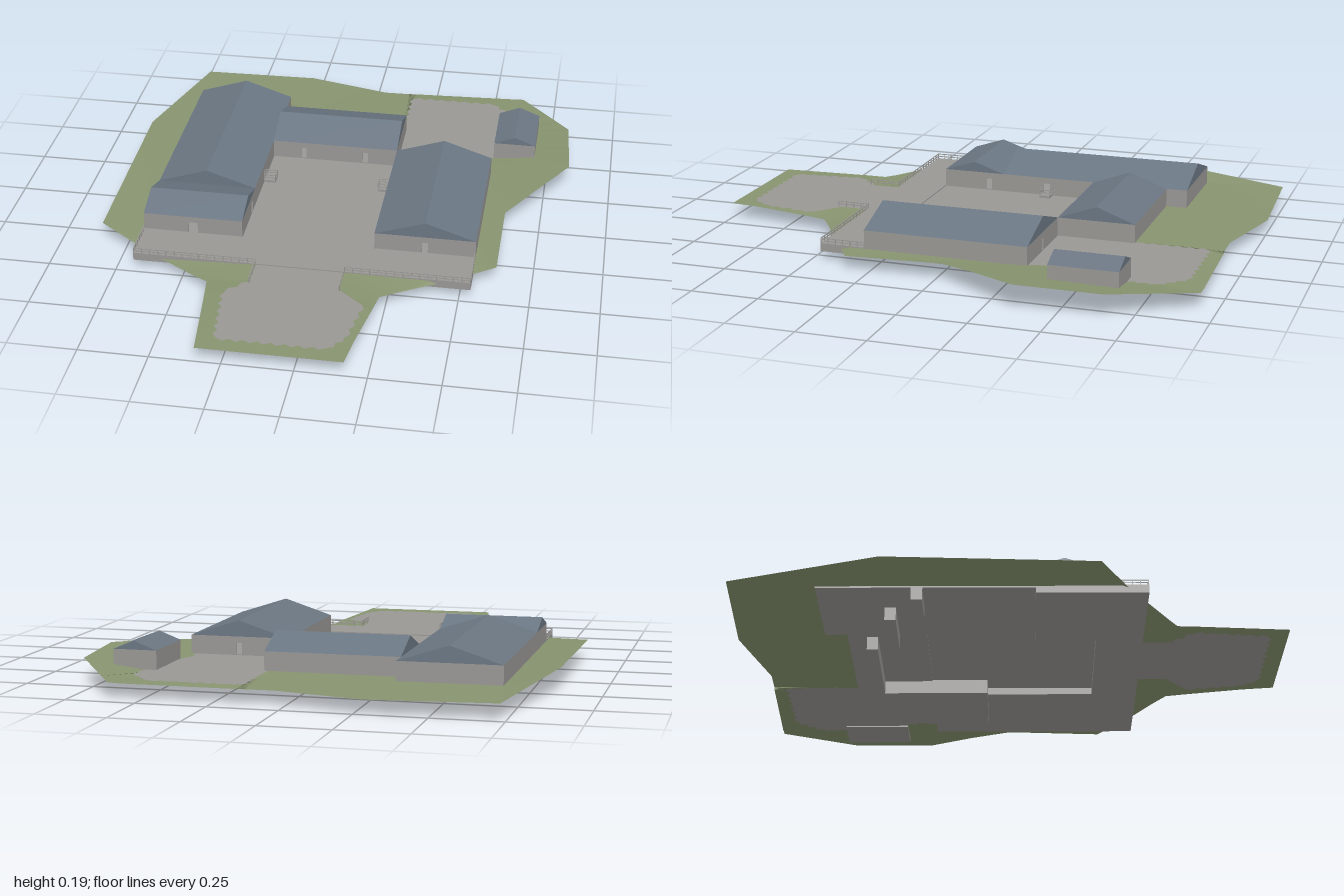
import * as THREE from 'three';

export function createModel() {
  const model = new THREE.Group();
  const mat = (name, color) => Object.assign(new THREE.MeshStandardMaterial({ color, side: THREE.DoubleSide }), { name });
  const grass = mat('grass', 0x87936f);
  const stone = mat('stone', 0x999794);
  const slate = mat('slate', 0x6a7682);

  const add = (name, geo, material, parent = model) => {
    const m = new THREE.Mesh(geo, material);
    m.name = name;
    parent.add(m);
    return m;
  };
  const box = (name, x0, x1, y0, y1, z0, z1, material = stone, parent = model) =>
    add(name, new THREE.BoxGeometry(x1 - x0, y1 - y0, z1 - z0), material, parent)
      .position.set((x0 + x1) / 2, (y0 + y1) / 2, (z0 + z1) / 2);

  // Ground: outer edge [x, z, y] joined to the paving edge [x, z]; 1 marks a ragged paving edge
  const G = 0.056;
  const edge = [
    [-0.73, -0.98, 0.055, -0.69, -0.68], [-0.28, -1, 0.05, -0.32, -0.68],
    [-0.2, -0.98, 0.05, -0.32, -0.6], [0.04, -0.92, 0.05, 0.04, -0.6],
    [0.14, -0.922, 0.05, 0.165, -0.6, 1], [0.17, -0.925, 0.05, 0.165, -0.87, 1],
    [0.57, -0.94, 0.053, 0.5, -0.87, 1], [0.62, -0.94, 0.055, 0.58, -0.78, 1],
    [0.82, -0.66, 0.085, 0.58, -0.62, 1], [0.84, -0.35, 0.092, 0.51, -0.38],
    [0.73, -0.18, 0.08, 0.54, -0.25], [0.62, -0.02, 0.06, 0.54, -0.05],
    [0.62, 0.34, 0.05, 0.54, 0.3], [0.54, 0.39, 0.046, 0.54, 0.36],
    [0.42, 0.47, 0.044, 0.4, 0.46], [0.3, 0.54, 0.044, 0.085, 0.47],
    [0.23, 0.59, 0.047, 0.085, 0.58], [0.22, 0.66, 0.05, 0.18, 0.66, 1],
    [0.185, 0.88, 0.055, 0.15, 0.86, 1], [0.17, 1, 0.056, 0.1, 0.93, 1],
    [-0.34, 1, 0.056, -0.28, 0.93, 1], [-0.38, 0.66, 0.05, -0.31, 0.66, 1],
    [-0.39, 0.59, 0.047, -0.235, 0.58], [-0.44, 0.56, 0.044, -0.235, 0.47],
    [-0.6, 0.46, 0.044, -0.58, 0.46], [-0.69, 0.4, 0.048, -0.69, 0.38],
    [-0.85, 0.3, 0.066, -0.69, 0.3], [-0.85, -0.45, 0.086, -0.69, -0.45],
  ];
  const rim = [];
  edge.forEach((a, i) => {
    const b = edge[(i + 1) % edge.length];
    const len = Math.hypot(a[3] - b[3], a[4] - b[4]);
    const n = a[5] ? 2 * Math.max(1, Math.round(len / 0.045)) : 1;
    for (let k = 0; k < n; k++) {
      const p = [0, 1, 2, 3, 4].map(j => a[j] + (b[j] - a[j]) * k / n);
      if (k % 2) {
        const d = 0.014 / len;
        const ox = (b[4] - a[4]) * d, oz = -(b[3] - a[3]) * d;
        p[3] += ox; p[4] += oz;
      }
      rim.push(p);
    }
  });
  const pos = [], idx = [];
  rim.forEach((p, i) => {
    pos.push(p[0], p[2], p[1], p[3], G, p[4]);
    const a = 2 * i, b = 2 * ((i + 1) % rim.length);
    idx.push(a, a + 1, b, b, a + 1, b + 1);
  });
  const bank = new THREE.BufferGeometry();
  bank.setAttribute('position', new THREE.Float32BufferAttribute(pos, 3));
  bank.setIndex(idx);
  bank.computeVertexNormals();
  add('grassBank', bank, grass);

  // Paved yard, flat inside the grass
  const yard = new THREE.ShapeGeometry(new THREE.Shape(rim.map(p => new THREE.Vector2(p[3], -p[4]))));
  yard.rotateX(-Math.PI / 2).translate(0, G, 0);
  add('pavedYard', yard, stone);

  // Raised front terrace and the slabs below it
  box('terrace', -0.69, 0.54, 0.03, 0.06, 0.3, 0.47);
  box('eastSlab', 0.17, 0.54, 0.03, 0.06, -0.31, 0.3);
  box('westSlab', -0.69, -0.32, 0.03, 0.06, 0.08, 0.3);

  // Stepped footing walls under the yard
  [[0.09, 0.39, -0.14, -0.1], [0.09, 0.12, -0.53, -0.14], [-0.3, 0.09, -0.53, -0.49],
    [-0.54, -0.3, -0.45, -0.41], [-0.69, -0.54, -0.35, -0.31]]
    .forEach(([x0, x1, z0, z1], i) => box('footing' + (i + 1), x0, x1, i === 4 ? 0.005 : 0, 0.055, z0, z1));

  // Wall panel from a to b along its length, with door notches [centre, width]
  const EAVE = 0.125, FLOOR = 0.055;
  function wall(parent, side, a, b, at, doors = []) {
    const s = new THREE.Shape();
    s.moveTo(a, FLOOR);
    doors.forEach(([c, w]) => {
      s.lineTo(c - w / 2, FLOOR); s.lineTo(c - w / 2, 0.102);
      s.lineTo(c + w / 2, 0.102); s.lineTo(c + w / 2, FLOOR);
    });
    s.lineTo(b, FLOOR); s.lineTo(b, EAVE); s.lineTo(a, EAVE);
    const g = new THREE.ExtrudeGeometry(s, { depth: 0.006, bevelEnabled: false });
    if (side === 'front') g.translate(0, 0, at - 0.006);
    if (side === 'back') g.translate(0, 0, at);
    // Side panels run along z, their local x axis becoming -z
    if (side === 'east') g.rotateY(Math.PI / 2).translate(at - 0.006, 0, 0);
    if (side === 'west') g.rotateY(Math.PI / 2).translate(at, 0, 0);
    add(side + 'Wall', g, stone, parent);
  }
  // Solid gable roof with its ridge along x or z
  function roof(parent, axis, x0, x1, z0, z1, top) {
    const alongZ = axis === 'z';
    const half = (alongZ ? x1 - x0 : z1 - z0) / 2, len = alongZ ? z1 - z0 : x1 - x0;
    const s = new THREE.Shape([[-half, EAVE], [half, EAVE], [0, top]].map(p => new THREE.Vector2(...p)));
    const g = new THREE.ExtrudeGeometry(s, { depth: len, bevelEnabled: false }).translate(0, 0, -len / 2);
    if (!alongZ) g.rotateY(Math.PI / 2);
    g.translate((x0 + x1) / 2, 0, (z0 + z1) / 2);
    add('roof', g, slate, parent);
  }
  function building(name, x0, x1, z0, z1, doors, roofs) {
    const g = new THREE.Group();
    g.name = name;
    model.add(g);
    box('floor', x0, x1, 0.05, 0.06, z0, z1, stone, g);
    wall(g, 'front', x0, x1, z1, doors.front);
    wall(g, 'back', x0, x1, z0, doors.back);
    wall(g, 'east', -z1, -z0, x1, doors.east);
    wall(g, 'west', -z1, -z0, x0, doors.west);
    roofs.forEach(r => roof(g, ...r));
  }
  building('westWing', -0.69, -0.32, -0.68, 0.3,
    { front: [[-0.505, 0.035]], east: [[-0.12, 0.025], [0.12, 0.025]] },
    [['z', -0.69, -0.32, -0.68, 0.06, 0.185], ['x', -0.69, -0.32, 0.06, 0.3, 0.165]]);
  building('northWing', -0.32, 0.17, -0.6, -0.31,
    { front: [[-0.2, 0.022], [0.045, 0.022]] }, [['x', -0.32, 0.17, -0.6, -0.31, 0.178]]);
  building('eastWing', 0.17, 0.54, -0.31, 0.3,
    { front: [[0.355, 0.022]], back: [[0.355, 0.022]], west: [[0.12, 0.025]] },
    [['z', 0.17, 0.54, -0.31, 0.3, 0.185]]);
  building('shed', 0.54, 0.7, -0.68, -0.43, {}, [['z', 0.54, 0.7, -0.68, -0.43, 0.156]]);

  // Post and rail fence along a path of [x, z] points
  function fence(name, path, base = 0.058, height = 0.022) {
    const g = new THREE.Group();
    g.name = name;
    model.add(g);
    for (let i = 0; i + 1 < path.length; i++) {
      const [ax, az] = path[i], [bx, bz] = path[i + 1];
      const len = Math.hypot(bx - ax, bz - az), n = Math.max(1, Math.round(len / 0.03)), r = 0.0015;
      for (let k = 0; k <= n; k++) {
        const x = ax + (bx - ax) * k / n, z = az + (bz - az) * k / n;
        box('post', x - r, x + r, base, base + height, z - r, z + r, stone, g);
      }
      [0.55, 1].forEach(f => box('rail', Math.min(ax, bx) - r, Math.max(ax, bx) + r,
        base + height * f - 0.003, base + height * f, Math.min(az, bz) - r, Math.max(az, bz) + r, stone, g));
    }
  }
  fence('westFence', [[-0.688, 0.3], [-0.688, 0.468], [-0.236, 0.468], [-0.236, 0.59]]);
  fence('eastFence', [[0.538, 0.3], [0.538, 0.468], [0.087, 0.468], [0.087, 0.59]]);

  // Small railed landings at the side doors
  [[-0.318, -0.275], [0.125, 0.168]].forEach(([x0, x1], i) => {
    const name = i ? 'eastLanding' : 'westLanding', inner = i ? x0 : x1, outer = i ? x1 : x0;
    box(name, x0, x1, 0.055, 0.066, -0.145, -0.105);
    fence(name + 'Rail', [[outer, -0.145], [inner, -0.145], [inner, -0.105], [outer, -0.105]], 0.066, 0.024);
  });

  return model;
}
